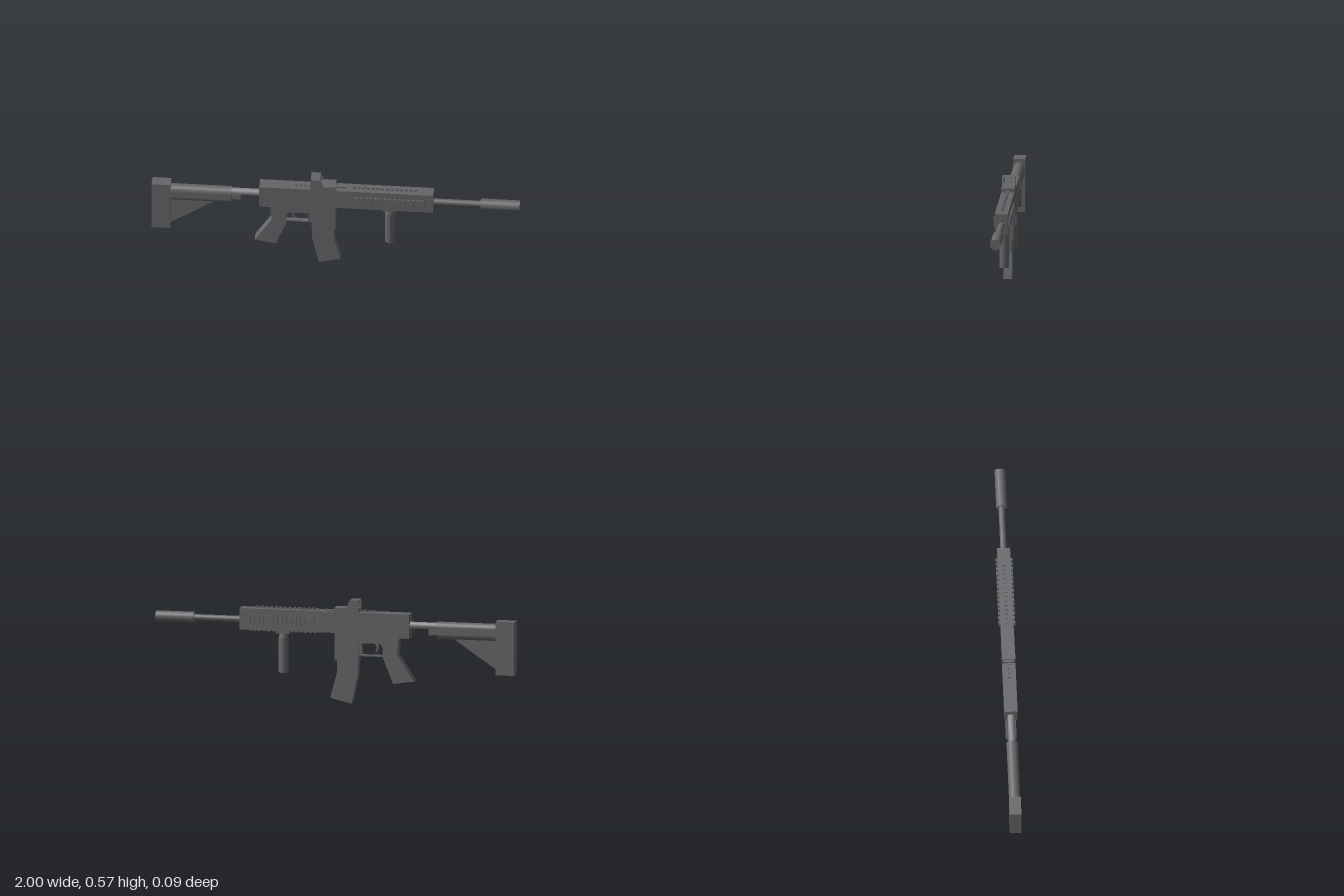
import * as THREE from 'three';

export function createModel() {
  const model = new THREE.Group();
  const gunGrey = new THREE.MeshStandardMaterial({ color: 0x666668 });
  gunGrey.name = 'gunmetal grey';
  const steel = new THREE.MeshStandardMaterial({ color: 0x868688 });
  steel.name = 'light steel';

  const add = (name, geometry, material = gunGrey, parent = model) => {
    const mesh = new THREE.Mesh(geometry, material);
    mesh.name = name;
    parent.add(mesh);
    return mesh;
  };
  // Box given by its limits in x and y, and its half width in z
  const box = (name, x0, x1, y0, y1, hz, z = 0, parent = model) => {
    const mesh = add(name, new THREE.BoxGeometry(x1 - x0, y1 - y0, hz * 2), gunGrey, parent);
    mesh.position.set((x0 + x1) / 2, (y0 + y1) / 2, z);
    return mesh;
  };
  // Side outline extruded symmetrically across z
  const plate = (name, points, hz, z = 0) => {
    const shape = new THREE.Shape(points.map(([x, y]) => new THREE.Vector2(x, y)));
    const g = new THREE.ExtrudeGeometry(shape, { depth: hz * 2, bevelEnabled: false });
    g.translate(0, 0, z - hz);
    return add(name, g);
  };
  // Round bar along x
  const bar = (name, x0, x1, y, r, material) => {
    const g = new THREE.CylinderGeometry(r, r, x1 - x0, 32);
    g.rotateZ(Math.PI / 2);
    g.translate((x0 + x1) / 2, y, 0);
    return add(name, g, material);
  };

  // Shoulder stock: butt, rounded sleeve and brace
  box('buttPad', -1, -0.897, 0.188, 0.482, 0.032);
  const sleeve = new THREE.Shape();
  sleeve.absarc(0, 0.434, 0.031, 0, Math.PI, false);
  sleeve.absarc(0, 0.401, 0.031, Math.PI, Math.PI * 2, false);
  const sleeveGeometry = new THREE.ExtrudeGeometry(sleeve, {
    depth: 0.33, bevelEnabled: false, curveSegments: 20,
  });
  sleeveGeometry.rotateY(Math.PI / 2);
  sleeveGeometry.translate(-0.897, 0, 0);
  add('stockSleeve', sleeveGeometry);
  plate('stockBrace', [[-0.9, 0.213], [-0.655, 0.378], [-0.9, 0.378]], 0.014);
  plate('stockLever', [[-0.57, 0.395], [-0.52, 0.388], [-0.517, 0.42], [-0.57, 0.42]], 0.01);
  bar('bufferTube', -0.58, -0.41, 0.44, 0.019, steel);

  // Receiver and handguard
  plate('receiver', [
    [-0.415, 0.37], [-0.14, 0.37], [-0.13, 0.365], [0, 0.365],
    [0, 0.388], [0.06, 0.503], [-0.415, 0.503],
  ], 0.036);
  box('handguard', 0, 0.53, 0.387, 0.503, 0.0352);
  plate('triggerHousing', [[-0.35, 0.375], [-0.27, 0.325], [-0.255, 0.335], [-0.13, 0.335], [-0.13, 0.375]], 0.03);

  // Rails with evenly spaced ribs
  const rails = new THREE.Group();
  rails.name = 'rails';
  model.add(rails);
  const pitch = 0.0257;
  for (let i = 0; i < 15; i++) {
    const x = 0.116 + i * pitch;
    for (const s of [-1, 1]) box('sideRib', x - 0.007, x + 0.007, 0.42, 0.468, 0.006, s * 0.0395, rails);
    box('lowerRib', x - 0.007, x + 0.007, 0.377, 0.389, 0.008, 0, rails);
  }
  for (let i = 0; i < 14; i++) {
    const x = 0.1 + i * pitch;
    box('upperRib', x - 0.007, x + 0.007, 0.5, 0.514, 0.008, 0, rails);
  }
  for (let i = 0; i < 4; i++) {
    const x = -0.213 + i * 0.0245;
    box('rearRib', x - 0.006, x + 0.006, 0.5, 0.514, 0.008, 0, rails);
  }
  box('railBlock', 0, 0.055, 0.5, 0.511, 0.008, 0, rails);

  // Sight: base and an open frame seen through along x
  box('sightBase', -0.135, 0, 0.5, 0.525, 0.036);
  for (const s of [-1, 1]) {
    plate('sightSide', [[-0.135, 0.524], [-0.065, 0.524], [-0.082, 0.563], [-0.135, 0.563]], 0.0035, s * 0.0325);
  }
  plate('sightTop', [[-0.135, 0.562], [-0.0815, 0.562], [-0.084, 0.569], [-0.135, 0.569]], 0.036);

  // Pistol grip
  plate('pistolGrip', [
    [-0.44, 0.135], [-0.325, 0.118], [-0.267, 0.262], [-0.267, 0.315],
    [-0.245, 0.345], [-0.23, 0.372], [-0.358, 0.372], [-0.347, 0.278],
  ], 0.029);

  // Trigger and its guard
  box('guardBottom', -0.27, -0.14, 0.261, 0.269, 0.012);
  plate('guardFront', [[-0.152, 0.268], [-0.145, 0.261], [-0.125, 0.261], [-0.125, 0.34], [-0.143, 0.34]], 0.012);
  plate('trigger', [
    [-0.238, 0.34], [-0.24, 0.305], [-0.228, 0.283], [-0.22, 0.284],
    [-0.229, 0.306], [-0.216, 0.34],
  ], 0.006);

  // Magazine well and curved magazine
  box('magazineWell', -0.132, 0, 0.235, 0.37, 0.031);
  plate('magazine', [
    [-0.128, 0.24], [-0.128, 0.165], [-0.092, 0], [0.027, 0.028],
    [-0.01, 0.165], [-0.01, 0.24],
  ], 0.023);

  // Vertical foregrip
  box('foregripMount', 0.255, 0.33, 0.37, 0.387, 0.024);
  const profile = [[0, 0.155], [0.026, 0.155], [0.026, 0.345], [0.021, 0.372], [0, 0.372]];
  const grip = add('foregrip', new THREE.LatheGeometry(
    // Doubled points keep the rims crisp
    profile.flatMap(([r, y]) => [new THREE.Vector2(r, y), new THREE.Vector2(r, y + 0.0001)]), 32));
  grip.position.x = 0.292;

  // Barrel and muzzle sleeve
  bar('barrel', 0.52, 0.8, 0.438, 0.017);
  bar('muzzleSleeve', 0.787, 1, 0.438, 0.0295);

  return model;
}
